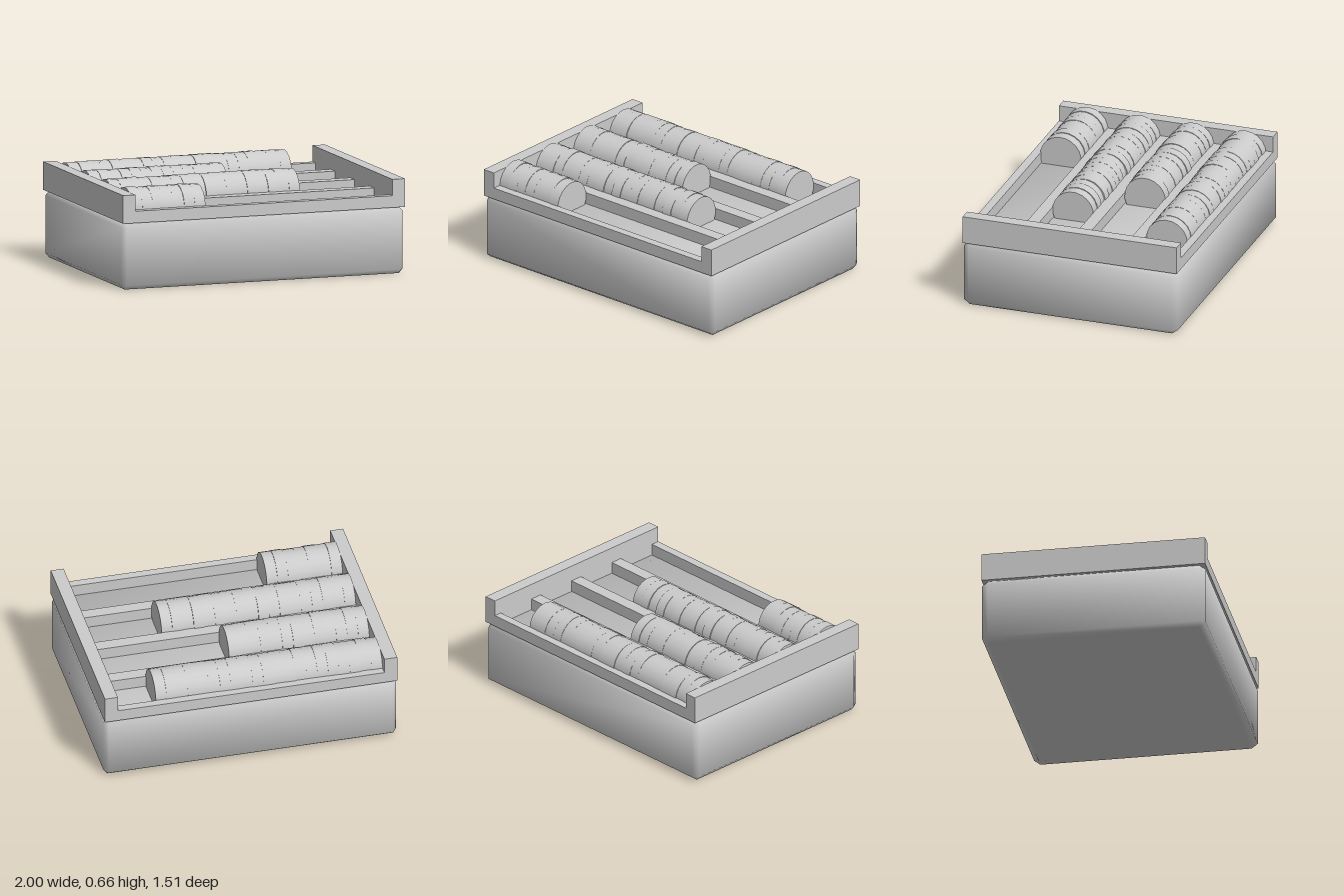
import * as THREE from 'three';
import { ConvexGeometry } from 'three/addons/geometries/ConvexGeometry.js';

const grey = new THREE.MeshStandardMaterial({ color: 0xcccccc });
grey.name = 'grey';

function add(parent, name, geometry, x = 0, y = 0, z = 0) {
  const mesh = new THREE.Mesh(geometry, grey);
  mesh.name = name;
  mesh.position.set(x, y, z);
  parent.add(mesh);
  return mesh;
}

// Box with chamfered edges and softly blended normals
function chamferedBox(half, cut) {
  const points = [];
  for (let axis = 0; axis < 3; axis++)
    for (const sx of [-1, 1]) for (const sy of [-1, 1]) for (const sz of [-1, 1]) {
      const p = [sx, sy, sz].map((s, i) => s * (half[i] - (i === axis ? 0 : cut[i])));
      points.push(new THREE.Vector3(...p));
    }
  const geometry = new ConvexGeometry(points);
  const pos = geometry.attributes.position;
  const n = new THREE.Vector3();
  for (let i = 0; i < pos.count; i++) {
    const p = [pos.getX(i), pos.getY(i), pos.getZ(i)];
    // the main face weighs most, its neighbouring chamfers less
    n.set(...p.map((v, k) => Math.sign(v) * (Math.abs(v) > half[k] - 0.001 ? 3 : 1.28))).normalize();
    geometry.attributes.normal.setXYZ(i, n.x, n.y, n.z);
  }
  return geometry;
}

// Small seeded generator for the uneven stacking
function seeded(seed) {
  return () => {
    seed = (seed * 16807) % 2147483647;
    return seed / 2147483647;
  };
}

export function createModel() {
  const model = new THREE.Group();
  model.name = 'coinTray';

  // Base block
  add(model, 'base', chamferedBox([1, 0.225, 0.755], [0.027, 0.032, 0.042]), 0, 0.225, 0);

  // Tray frame: two tall ends joined by five low rails
  const tray = new THREE.Group();
  tray.name = 'tray';
  model.add(tray);
  for (const side of [-1, 1])
    add(tray, 'endWall', new THREE.BoxGeometry(0.088, 0.19, 1.51), side * 0.956, 0.545, 0);
  const rails = [[-0.755, -0.7], [-0.418, -0.332], [-0.046, 0.04], [0.326, 0.41], [0.697, 0.755]];
  for (const [z0, z1] of rails)
    add(tray, 'rail', new THREE.BoxGeometry(1.824, 0.08, z1 - z0), 0, 0.49, (z0 + z1) / 2);

  // Rows of coins lying on edge, each slightly turned and shifted
  const random = seeded(71);
  const thickness = 0.0738;
  const coin = new THREE.CylinderGeometry(0.145, 0.145, thickness, 20).rotateZ(Math.PI / 2);
  const rows = [[-0.56, 21], [-0.19, 13], [0.182, 18], [0.555, 7]];
  for (const [z, count] of rows) {
    const row = new THREE.Group();
    row.name = 'coinRow';
    model.add(row);
    for (let i = 0; i < count; i++) {
      const x = -0.912 + (i + 0.5) * thickness;
      const mesh = add(row, 'coin', coin, x, 0.512 + random() * 0.005, z + (random() - 0.5) * 0.01);
      mesh.rotation.x = random() * Math.PI * 2;
    }
  }
  return model;
}
